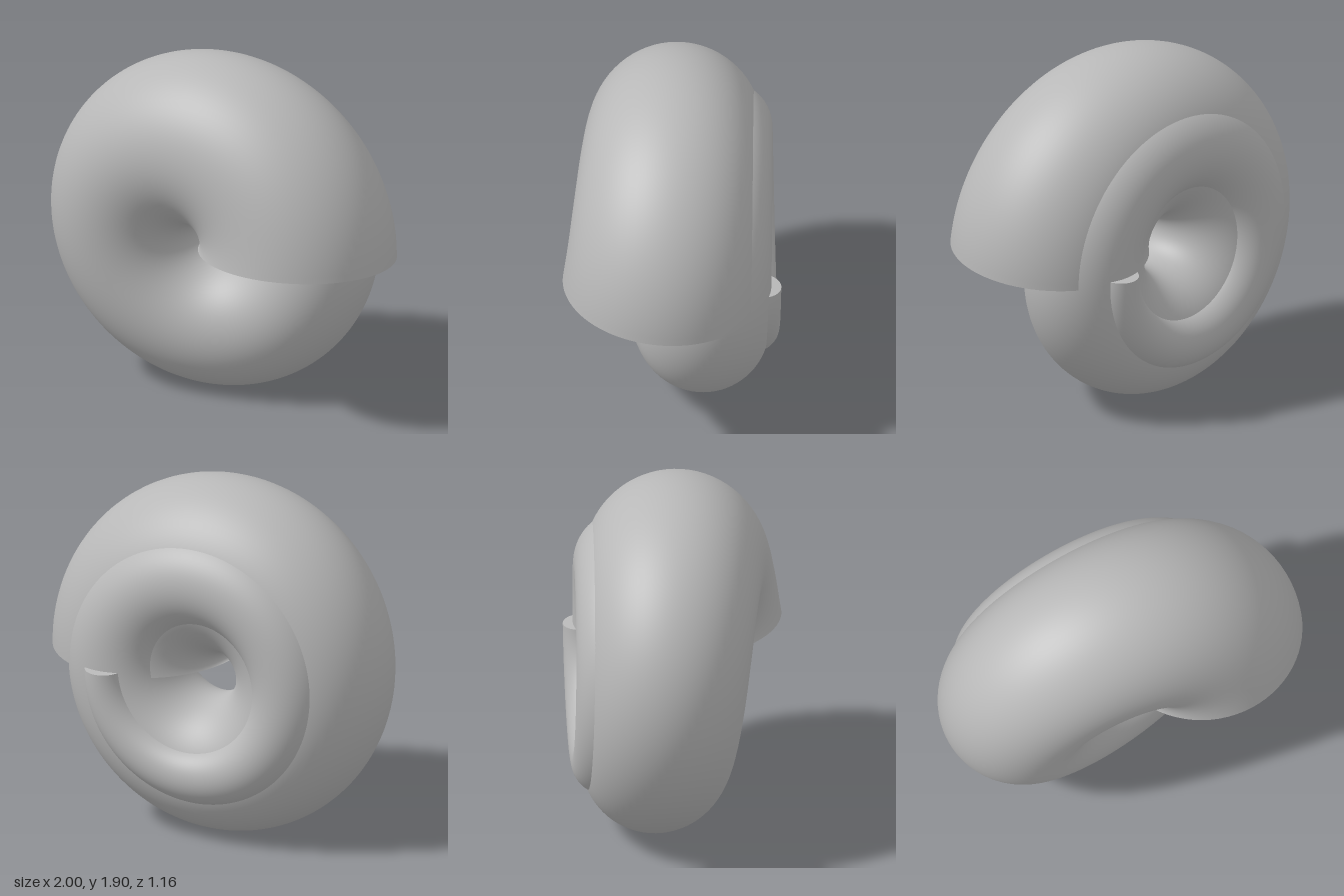
import * as THREE from 'three';

const TURNS = 2;
const COIL = 0.5263;            // radius of the helix, also the tube radius at the wide end
const TIP = COIL * 0.2;         // tube radius at the narrow end
const PITCH = COIL * 0.5;       // drop towards the back per turn
const CENTRE = new THREE.Vector3(-0.0526, 0.8947, 0.0533);
const RINGS = 320, SIDES = 72;

// Position, frame and tube radius at t (0 = wide end, 1 = narrow end)
function section(t) {
  const a = t * TURNS * Math.PI * 2;
  const out = new THREE.Vector3(Math.cos(a), Math.sin(a), 0);
  const tangent = new THREE.Vector3(
    -COIL * Math.sin(a), COIL * Math.cos(a), -PITCH / (Math.PI * 2)).normalize();
  const side = new THREE.Vector3().crossVectors(tangent, out);
  const pos = CENTRE.clone().addScaledVector(out, COIL);
  pos.z -= PITCH * TURNS * t;
  return { pos, out, side, tangent, radius: THREE.MathUtils.lerp(COIL, TIP, t) };
}

// Tapering tube swept along the helix
function coilGeometry() {
  const points = [], index = [];
  for (let i = 0; i <= RINGS; i++) {
    const s = section(i / RINGS);
    for (let j = 0; j < SIDES; j++) {
      const u = (j / SIDES) * Math.PI * 2;
      points.push(s.pos.clone()
        .addScaledVector(s.out, s.radius * Math.cos(u))
        .addScaledVector(s.side, s.radius * Math.sin(u)));
      if (i === RINGS) continue;
      const k = (j + 1) % SIDES;
      const a = i * SIDES + j, b = a + SIDES, c = i * SIDES + k, d = c + SIDES;
      index.push(a, c, b, b, c, d);
    }
  }
  const geometry = new THREE.BufferGeometry().setFromPoints(points);
  geometry.setIndex(index);
  geometry.computeVertexNormals();
  return geometry;
}

// Flat disc closing one end, facing away from the tube
function endCap(t, direction, name, material) {
  const s = section(t);
  const geometry = new THREE.CircleGeometry(s.radius, SIDES);
  geometry.applyMatrix4(new THREE.Matrix4().makeBasis(
    s.out, s.side.multiplyScalar(direction), s.tangent.multiplyScalar(direction)).setPosition(s.pos));
  const mesh = new THREE.Mesh(geometry, material);
  mesh.name = name;
  return mesh;
}

export function createModel() {
  const group = new THREE.Group();
  group.name = 'spiralShell';
  const grey = new THREE.MeshStandardMaterial({ color: 0xb8b8b8 });
  grey.name = 'grey';

  const coil = new THREE.Mesh(coilGeometry(), grey);
  coil.name = 'coil';
  group.add(coil);
  group.add(endCap(0, -1, 'wideEnd', grey));
  group.add(endCap(1, 1, 'narrowEnd', grey));
  return group;
}
